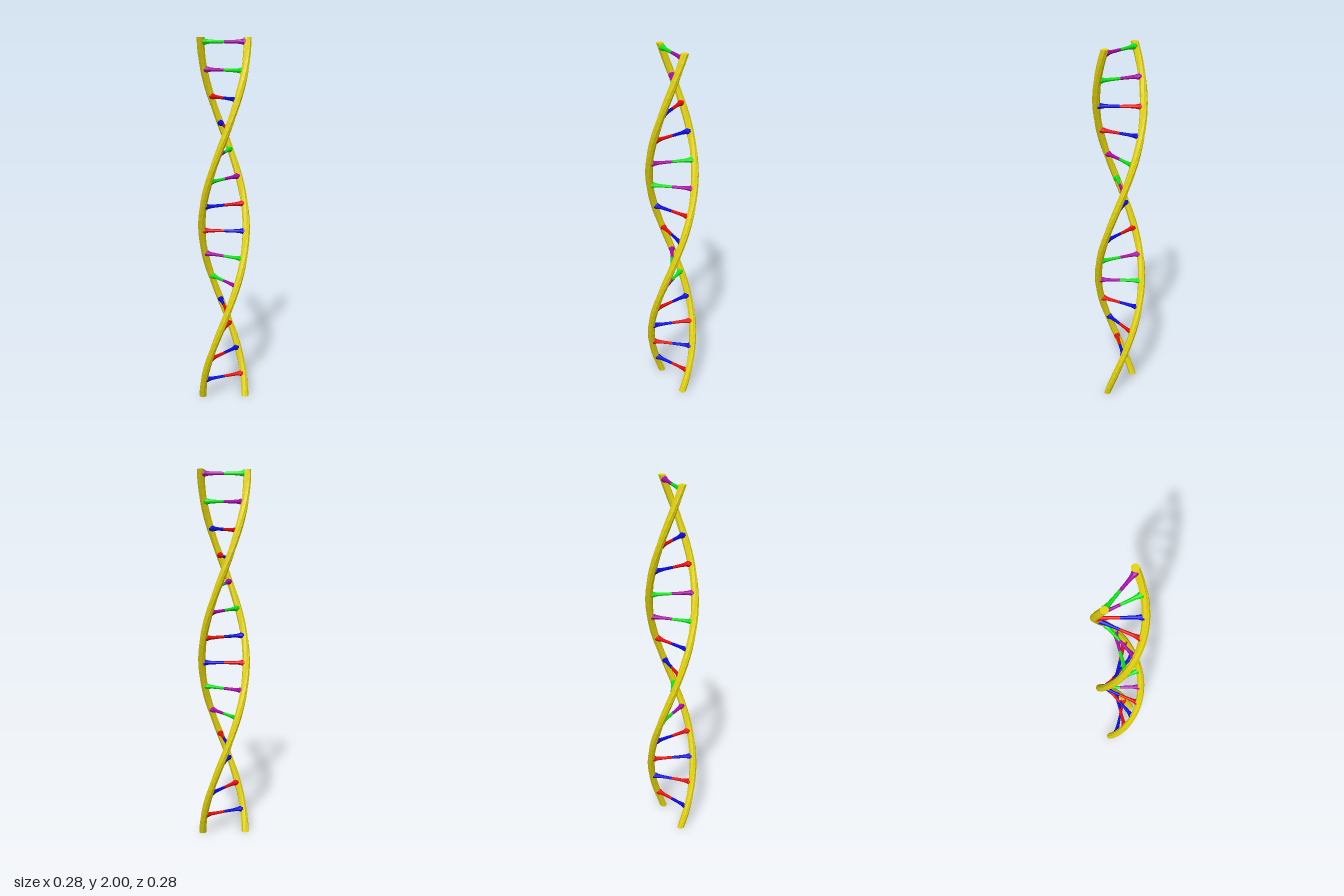
import * as THREE from 'three';

const HEIGHT = 2;
const RADIUS = 0.12;       // helix radius at the strand centre
const TUBE = 0.02;         // strand thickness radius
const TURN = Math.PI;      // twist per unit of height

const material = (color) => new THREE.MeshStandardMaterial({ color, flatShading: true });

// Octagonal column standing off the axis, twisted once around it
function strandGeometry(phase) {
  const geo = new THREE.CylinderGeometry(TUBE, TUBE, HEIGHT, 8, 48);
  geo.translate(RADIUS, HEIGHT / 2, 0);
  const pos = geo.attributes.position;
  const axis = new THREE.Vector3(0, 1, 0);
  const v = new THREE.Vector3();
  for (let i = 0; i < pos.count; i++) {
    v.fromBufferAttribute(pos, i);
    v.applyAxisAngle(axis, v.y * TURN + phase);
    pos.setXYZ(i, v.x, v.y, v.z);
  }
  geo.computeVertexNormals();
  return geo;
}

// Half a rung along +x: thin at the middle, flared where it meets the strand
function halfRungGeometry() {
  const profile = [
    [0, 0], [0.008, 0], [0.009, 0.05], [0.0105, 0.075], [0.013, 0.09], [0.017, 0.102], [0.017, 0.112],
  ].map(([r, d]) => new THREE.Vector2(r, d));
  const geo = new THREE.LatheGeometry(profile, 8);
  geo.rotateZ(-Math.PI / 2);
  return geo;
}

export function createModel() {
  const model = new THREE.Group();
  model.name = 'doubleHelix';

  // Two backbone strands
  const yellow = material(0xe6d60c);
  ['firstStrand', 'secondStrand'].forEach((name, i) => {
    const strand = new THREE.Mesh(strandGeometry(i * Math.PI), yellow);
    strand.name = name;
    model.add(strand);
  });

  // Rungs: each letter is the colour at the first strand, its partner is opposite
  const colors = {
    R: material(0xe60a0a), B: material(0x0a0ae0),
    G: material(0x0ae614), P: material(0xaa0aaa),
  };
  const partner = { R: 'B', B: 'R', G: 'P', P: 'G' };
  const half = halfRungGeometry();
  [...'RBRBGPRBGPRBGP'].forEach((key, i) => {
    const y = 0.12 + (i * HEIGHT) / 14;
    const rung = new THREE.Group();
    rung.name = `rung${i + 1}`;
    const a = new THREE.Mesh(half, colors[key]);
    a.name = 'rungFirstHalf';
    const b = new THREE.Mesh(half, colors[partner[key]]);
    b.name = 'rungSecondHalf';
    b.rotation.y = Math.PI;
    rung.add(a, b);
    rung.position.y = y;
    rung.rotation.y = y * TURN;
    model.add(rung);
  });

  return model;
}
